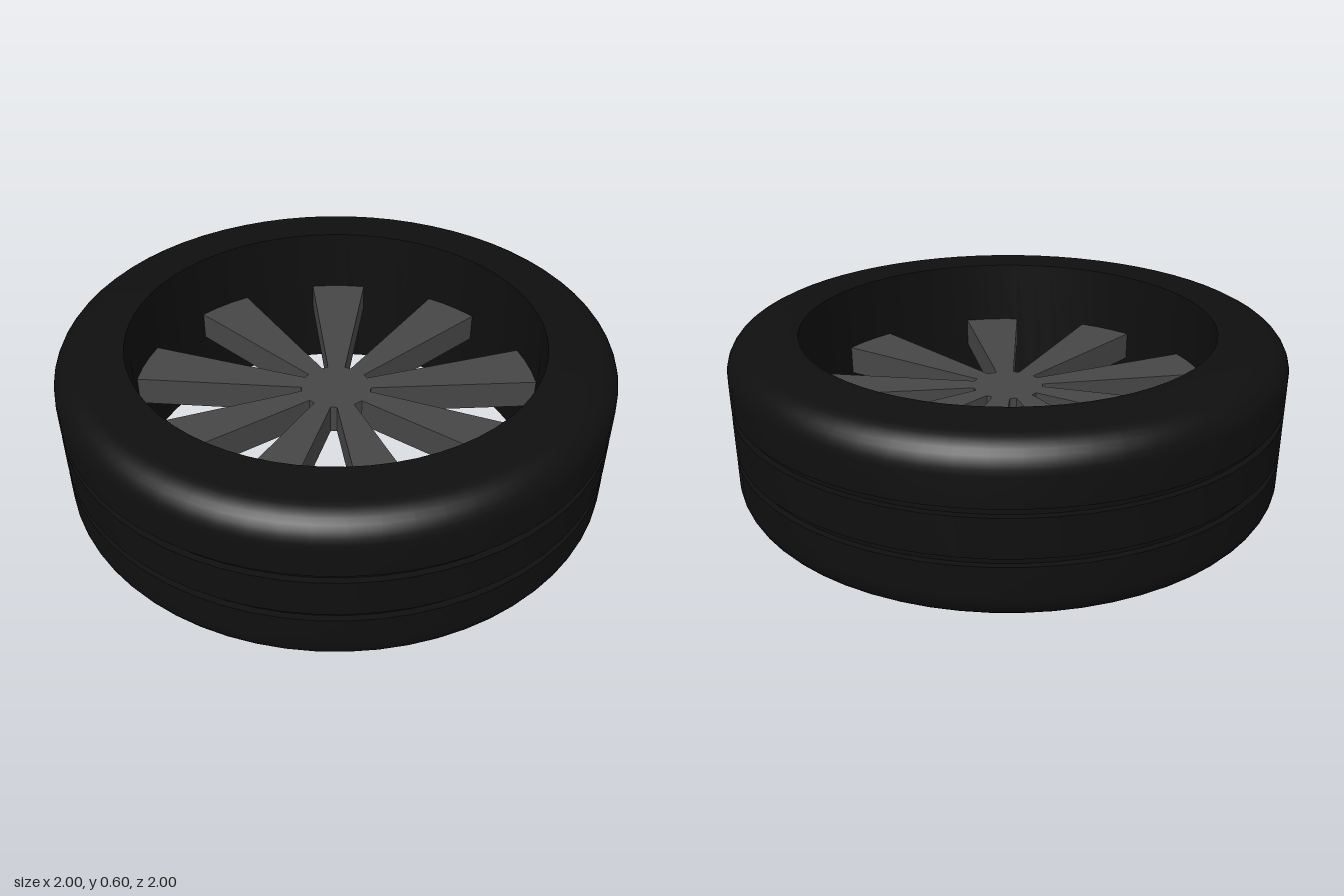
import * as THREE from 'three';
import { toCreasedNormals } from 'three/addons/utils/BufferGeometryUtils.js';

const SEGMENTS = 64;
const STEP = (Math.PI * 2) / SEGMENTS;
const WIDTH = 0.6;
const INNER = 0.75;

// Tyre: closed cross-section with rounded shoulders and two tread grooves
function createTyre() {
  const profile = [];
  const add = (r, y) => profile.push(new THREE.Vector2(r, y));
  const shoulder = (cy, start) => {
    for (let i = 0; i <= 8; i++) {
      const a = start + (i / 8) * (Math.PI / 2);
      add(0.9 + 0.1 * Math.cos(a), cy + 0.1 * Math.sin(a));
    }
  };
  add(INNER, 0);
  shoulder(0.1, -Math.PI / 2);
  for (const y of [0.22, 0.383]) {
    add(1, y - 0.014);
    add(0.978, y - 0.014);
    add(0.978, y + 0.014);
    add(1, y + 0.014);
  }
  shoulder(WIDTH - 0.1, 0);
  add(INNER, WIDTH);
  add(INNER, 0);

  const geometry = toCreasedNormals(new THREE.LatheGeometry(profile, SEGMENTS), 0.6);
  const tyre = new THREE.Mesh(geometry, new THREE.MeshStandardMaterial({ color: 0x0f0f0f }));
  tyre.name = 'tyre';
  return tyre;
}

// Hub with nine flaring spokes, cut as one flat plate
function createSpokes() {
  const hubRadius = 0.13;
  const hubHalfSpan = THREE.MathUtils.degToRad(14.5);
  const thickness = 0.11;
  const points = [];
  const add = (r, a) => points.push(new THREE.Vector2(r * Math.cos(a), r * Math.sin(a)));

  // Each spoke spans three rim segments; four segments separate neighbours
  for (let i = 0; i < 9; i++) {
    const start = (-12 + i * 7) * STEP;
    const middle = start + 1.5 * STEP;
    add(hubRadius, middle - hubHalfSpan);
    for (let j = 0; j <= 3; j++) add(INNER, start + j * STEP);
    add(hubRadius, middle + hubHalfSpan);
  }

  const geometry = new THREE.ExtrudeGeometry(new THREE.Shape(points), {
    depth: thickness,
    bevelEnabled: false,
  });
  geometry.rotateX(-Math.PI / 2);
  geometry.translate(0, (WIDTH - thickness) / 2, 0);
  const spokes = new THREE.Mesh(
    geometry,
    new THREE.MeshStandardMaterial({ color: 0x464646 })
  );
  spokes.name = 'hubAndSpokes';
  return spokes;
}

export function createModel() {
  const wheel = new THREE.Group();
  wheel.name = 'wheel';
  wheel.add(createTyre(), createSpokes());
  return wheel;
}
